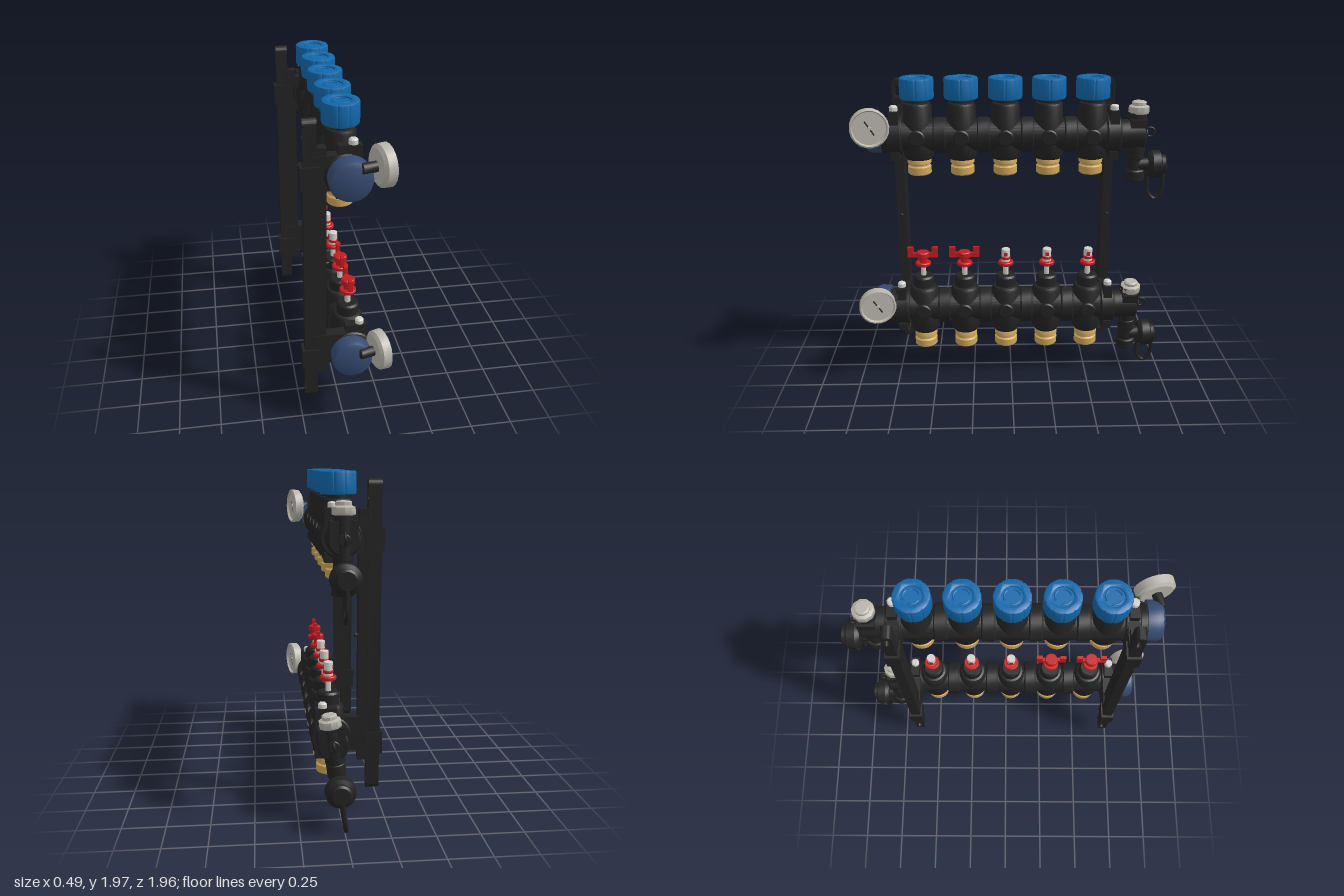
import * as THREE from 'three';
import { toCreasedNormals } from 'three/addons/utils/BufferGeometryUtils.js';

const mat = (name, color) => Object.assign(new THREE.MeshStandardMaterial({ color }), { name });
const black = mat('black plastic', 0x232323);
const blue = mat('blue plastic', 0x1268ab);
const navy = mat('navy plastic', 0x354a70);
const brass = mat('brass', 0xcfa75c);
const red = mat('red plastic', 0xc41c20);
const grey = mat('warm grey', 0xb9b6ac);
const white = mat('pale steel', 0xd2d0ca);

const PORTS = [0.57, 0.302, 0.034, -0.233, -0.5];
const RAILS = [0.71, -0.63];

function add(parent, name, geo, material, x = 0, y = 0, z = 0) {
  const m = new THREE.Mesh(geo, material);
  m.name = name;
  m.position.set(x, y, z);
  parent.add(m);
  return m;
}
function group(parent, name, x = 0, y = 0, z = 0) {
  const g = new THREE.Group();
  g.name = name;
  g.position.set(x, y, z);
  parent.add(g);
  return g;
}
// Turned part from [radius, height] pairs, bottom to top
const turned = (pts, sides = 24) => toCreasedNormals(
  new THREE.LatheGeometry(pts.map(p => new THREE.Vector2(p[0], p[1])), sides), 0.6);
// Chamfered drum between two heights
const drum = (r, a, b, c = 0.01, sides = 24) =>
  turned([[0, a], [r - c, a], [r, a + c], [r, b - c], [r - c, b], [0, b]], sides);
// The same drum lying along z
const drumZ = (r, a, b, c = 0.01, sides = 28) => drum(r, a, b, c, sides).rotateX(Math.PI / 2);
const box = (w, h, d) => new THREE.BoxGeometry(w, h, d);

// Scalloped hand wheel with a shallow dish on top
function knobGeometry() {
  const s = new THREE.Shape();
  const n = 120;
  for (let i = 0; i < n; i++) {
    const a = i / n * Math.PI * 2;
    const r = 0.09 + 0.005 * Math.min(1, 2.2 * Math.abs(Math.sin(a * 5)));
    s[i ? 'lineTo' : 'moveTo'](r * Math.cos(a), r * Math.sin(a));
  }
  s.holes.push(new THREE.Path().absarc(0, 0, 0.066, 0, Math.PI * 2, true));
  const g = new THREE.ExtrudeGeometry(s, {
    depth: 0.104, bevelThickness: 0.013, bevelSize: 0.009, bevelSegments: 2, curveSegments: 20 });
  return toCreasedNormals(g.rotateX(-Math.PI / 2).translate(0, 0.013, 0), 0.6);
}

// Pressure dial facing +y before it is aimed
function gauge(parent, x, y, z) {
  const g = group(parent, 'gauge', x, y, z);
  add(g, 'gaugeCase', turned([[0, -0.035], [0.095, -0.035], [0.115, -0.02], [0.118, 0.03],
    [0.108, 0.035], [0.1, 0.02], [0, 0.02]], 20), grey);
  const needle = add(g, 'needle', box(0.1, 0.004, 0.008), black, 0, 0.024, 0);
  needle.rotation.y = 0.8;
  add(g, 'needleHub', drum(0.012, 0.02, 0.029, 0.002, 12), grey);
  add(g, 'gaugeStem', drum(0.03, -0.12, -0.03, 0.004, 12), black);
  g.quaternion.setFromUnitVectors(new THREE.Vector3(0, 1, 0), new THREE.Vector3(0.97, 0, -0.24).normalize());
}

// Threaded outlet with an open lower mouth
function outlet(parent, y) {
  const g = group(parent, 'outlet', 0, y, 0);
  add(g, 'brassNut', turned([[0.045, 0.05], [0.045, 0], [0.066, 0], [0.074, 0.008], [0.074, 0.05],
    [0.064, 0.058], [0.064, 0.066], [0.074, 0.072], [0.074, 0.1], [0.06, 0.125], [0, 0.125]]), brass);
  add(g, 'outletBore', drum(0.046, 0.035, 0.06, 0.001), black);
}

// Flow indicator, with or without its winged lock cap
function flowMeter(parent, winged) {
  const g = group(parent, 'flowMeter', 0, 0.2, 0);
  add(g, 'stem', drum(0.017, 0, 0.12, 0.002, 14), white);
  add(g, 'redCollar', drum(0.05, 0.09, 0.115, 0.005), red);
  if (!winged) {
    add(g, 'sightGlass', drum(0.028, 0.11, 0.2, 0.003, 16), white);
    add(g, 'redBand', drum(0.031, 0.13, 0.15, 0.003, 16), red);
    for (const s of [-1, 1]) add(g, 'redMark', box(0.006, 0.025, 0.022), red, s * 0.027, 0.168, 0);
    return;
  }
  add(g, 'capNeck', drum(0.025, 0.11, 0.15, 0.003, 16), red);
  add(g, 'capBody', drum(0.042, 0.143, 0.185, 0.006), red);
  for (const s of [-1, 1]) {
    add(g, 'wingArm', box(0.024, 0.03, 0.07), red, 0, 0.162, s * 0.06);
    add(g, 'wingTip', box(0.022, 0.068, 0.04), red, 0, 0.182, s * 0.078);
  }
}

// Fill and drain valve at the back end
function endValve(parent, upper) {
  const g = group(parent, 'endValve');
  if (!upper) g.rotation.z = -0.13;
  const d = upper ? 0 : -0.045;
  add(g, 'valveBody', drumZ(0.09, -0.83, -0.66), black);
  add(g, 'valveTower', drum(0.058, -0.12, 0.145), black, 0, 0, -0.78);
  add(g, 'valveShoulder', box(0.15, 0.12, 0.1), black, 0, 0.04, -0.78);
  add(g, 'valveNose', drumZ(0.035, -0.85, -0.8, 0.005, 16), black);
  add(g, 'pullRing', new THREE.TorusGeometry(0.028, 0.008, 8, 20).rotateY(Math.PI / 2), black, 0, 0.01, -0.865);
  const capY = upper ? 0.13 : 0.1;
  add(g, 'ventCap', turned([[0, 0], [0.062, 0], [0.066, 0.008], [0.064, 0.042], [0.045, 0.05],
    [0.045, 0.068], [0.036, 0.074], [0, 0.074]], 10), grey, 0, capY, -0.787);
  const drain = group(g, 'drain', 0, d, 0);
  add(drain, 'drainNut', drum(0.055, -0.16, -0.07, 0.008, 12), black, 0, 0, -0.78);
  add(drain, 'drainColumn', drum(0.045, -0.28, -0.1), black, 0, 0, -0.775);
  add(drain, 'drainFoot', drum(0.062, -0.3, -0.225, 0.008, 12), black, 0, 0, -0.782);
  add(drain, 'drainPipe', drumZ(0.04, -0.9, -0.77, 0.004, 16), black, 0, -0.195, 0);
  add(drain, 'drainCap', turned([[0, -0.975], [0.05, -0.975], [0.062, -0.965], [0.062, -0.945], [0.085, -0.935],
    [0.087, -0.885], [0.07, -0.86], [0, -0.86]]).rotateX(Math.PI / 2), black, 0, -0.195, 0);
  const loop = new THREE.CatmullRomCurve3([[0.047, -0.2], [0.05, -0.3], [0.044, -0.38], [0, -0.425],
    [-0.044, -0.38], [-0.05, -0.3], [-0.047, -0.2]].map(p => new THREE.Vector3(0, p[1], -0.915 + p[0])));
  add(drain, 'capStrap', new THREE.TubeGeometry(loop, 36, 0.0135, 8), black);
}

function manifold(root, upper) {
  const ax = upper ? 0 : 0.055;
  const g = group(root, upper ? 'returnManifold' : 'supplyManifold', ax, upper ? 1.645 : 0.505, 0);
  add(g, 'mainPipe', drumZ(upper ? 0.1 : 0.095, -0.66, 0.75), black);
  // Joint collars between the ports
  for (let i = 0; i < 4; i++)
    add(g, 'jointCollar', drumZ(upper ? 0.109 : 0.113, -0.04, 0.04, 0.008), black, 0, 0, (PORTS[i] + PORTS[i + 1]) / 2);
  // Port sections
  PORTS.forEach((z, i) => {
    const p = group(g, 'portSection', 0, 0, z);
    if (upper) {
      add(p, 'portBody', turned([[0, -0.145], [0.08, -0.145], [0.094, -0.12], [0.094, 0.09], [0.087, 0.11],
        [0.087, 0.185], [0.08, 0.2], [0.066, 0.205], [0.066, 0.24], [0, 0.24]]), black);
      add(p, 'handWheel', knobGeometry(), blue, 0, 0.225, 0);
      add(p, 'wheelTop', drum(0.068, 0.31, 0.344, 0.002), blue);
      for (let k = 0; k < 3; k++)
        add(p, 'wheelMark', new THREE.TorusGeometry(0.045, 0.006, 6, 12, 1.4).rotateX(Math.PI / 2)
          .rotateY(k * Math.PI * 2 / 3), blue, 0, 0.345, 0);
      outlet(p, -0.245);
    } else {
      add(p, 'portBody', turned([[0, -0.168], [0.078, -0.168], [0.092, -0.145], [0.092, 0.125], [0.08, 0.145],
        [0.066, 0.15], [0.066, 0.21], [0.056, 0.222], [0, 0.222]]), black);
      outlet(p, -0.28);
      flowMeter(p, i < 2);
    }
    add(p, 'sideBoss', drum(0.05, 0, 0.113, 0.008).rotateZ(-Math.PI / 2), black);
  });
  // Pipe clamps reaching back to the rails
  for (const z of RAILS) {
    const c = group(g, 'pipeClamp', 0, 0, z);
    add(c, 'clampRing', drumZ(0.118, -0.045, 0.045, 0.008), black);
    add(c, 'clampArm', box(0.14 + ax, 0.2, 0.07), black, -0.07 - ax / 2 - 0.03, 0.01, 0);
    add(c, 'clampTopLug', box(0.13, 0.08, 0.055), black, 0.025, 0.12, 0);
    add(c, 'clampBottomLug', box(0.14, 0.05, 0.055), black, 0.02, -0.115, 0);
    add(c, 'clampScrew', drum(0.026, 0.15, 0.192, 0.008, 12), white, 0.045, 0, 0);
    add(c, 'railShoe', box(0.11, 0.13, 0.085), black, -0.188 - ax, -0.03 + (upper ? 0.02 : -0.02), 0);
  }
  // Front end cap and gauge
  add(g, 'endCollar', drumZ(0.11, 0.74, 0.8), black);
  add(g, 'endDial', turned([[0, 0.79], [0.117, 0.79], [0.119, 0.85], [0.11, 0.875], [0.085, 0.887], [0, 0.89]], 32)
    .rotateX(Math.PI / 2), navy, upper ? 0.01 : -0.02, 0.015, 0);
  gauge(g, upper ? 0.172 : 0.132, upper ? 0.087 : 0.068, upper ? 0.843 : 0.862);
  endValve(g, upper);
}

// Upright rail with slotted round ends
function rail(root, z) {
  const g = group(root, 'mountingRail', 0, 0, z);
  const w = 0.032;
  const s = new THREE.Shape().absarc(0, 1.928, w, 0, Math.PI).absarc(0, 0.202, w, Math.PI, Math.PI * 2);
  for (const y of [1.885, 0.245])
    s.holes.push(new THREE.Path().absarc(0, y + 0.025, 0.015, 0, Math.PI).absarc(0, y - 0.025, 0.015, Math.PI, Math.PI * 2));
  const geo = new THREE.ExtrudeGeometry(s, { depth: 0.075, bevelEnabled: false }).rotateY(-Math.PI / 2);
  add(g, 'railStrap', toCreasedNormals(geo, 0.6), black, -0.152, 0, 0);
  add(g, 'railWeb', box(0.06, 1.45, 0.058), black, -0.13, 1.075, 0);
  add(g, 'railStud', drum(0.012, 0, 0.022, 0.003, 10).rotateZ(-Math.PI / 2), black, -0.102, 1.09, 0);
}

export function createModel() {
  const root = new THREE.Group();
  root.name = 'heatingManifold';
  RAILS.forEach(z => rail(root, z));
  manifold(root, true);
  manifold(root, false);
  return root;
}
